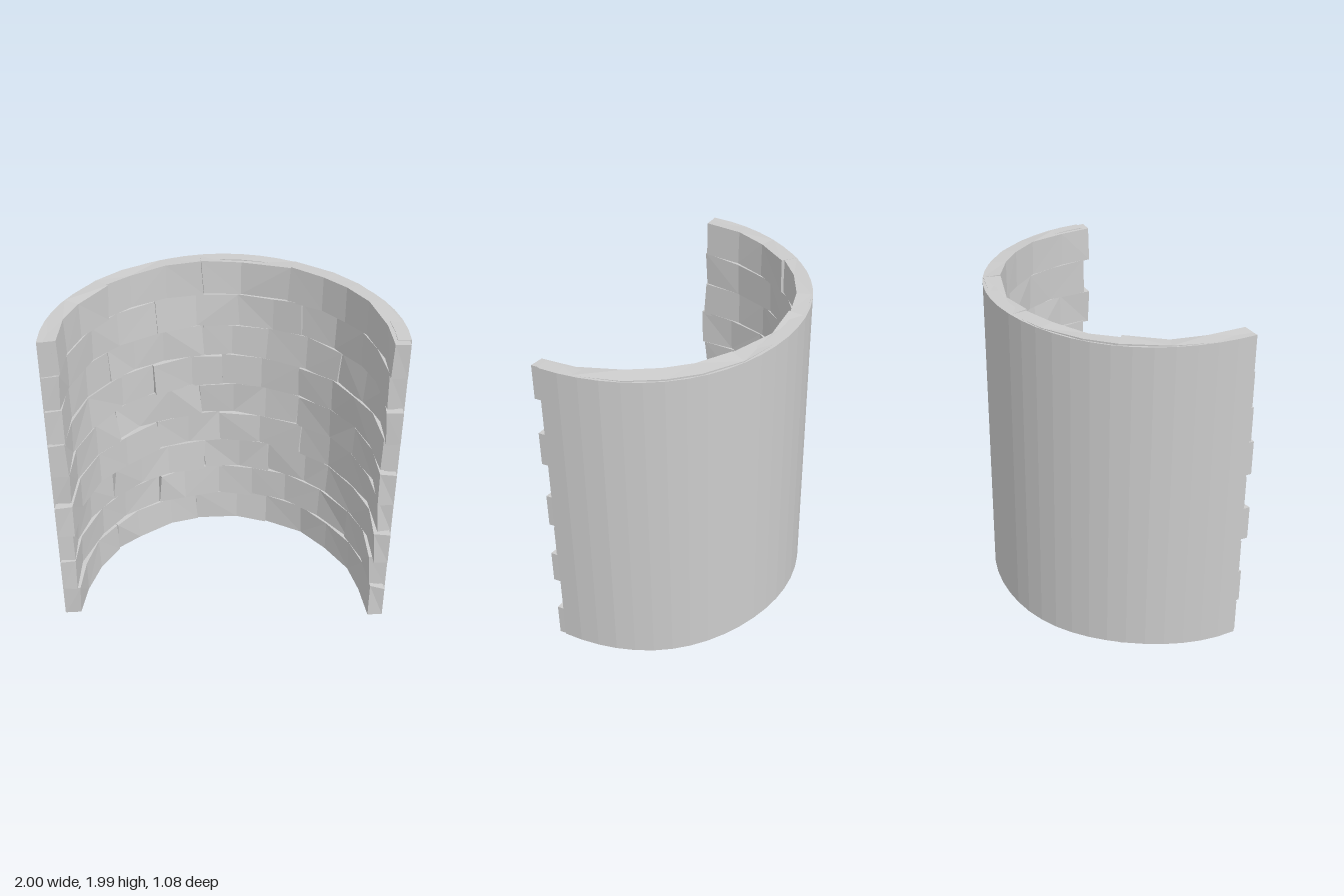
import * as THREE from 'three';

const CENTER_Z = 0.46;

// Small seeded generator for the rough-hewn irregularity
let seed = 11;
function jitter(amount) {
  seed = (seed * 16807) % 2147483647;
  return (seed / 2147483647 * 2 - 1) * amount;
}

// Point on the wall: angle 0 is the middle of the back
const point = (angle, r, y) => [r * Math.sin(angle), y, CENTER_Z - r * Math.cos(angle)];

// Closed solid through four-cornered sections: outer low, inner low, inner high, outer high
function loft(sections) {
  const positions = [], index = [];
  sections.forEach(s => s.forEach(p => positions.push(...p)));
  for (let i = 0; i < sections.length - 1; i++) {
    for (let k = 0; k < 4; k++) {
      const a = i * 4 + k, d = i * 4 + (k + 1) % 4;
      const b = a + 4, c = d + 4;
      if (i % 2) index.push(a, b, c, a, c, d);
      else index.push(a, b, d, b, c, d);
    }
  }
  const e = (sections.length - 1) * 4;
  index.push(0, 1, 2, 0, 2, 3, e, e + 2, e + 1, e, e + 3, e + 2);
  const geometry = new THREE.BufferGeometry();
  geometry.setAttribute('position', new THREE.Float32BufferAttribute(positions, 3));
  geometry.setIndex(index);
  const flat = geometry.toNonIndexed();
  flat.computeVertexNormals();
  return flat;
}

// Angle at which the wall end reaches a given z
const endAngle = z => Math.PI / 2 + Math.asin((z - CENTER_Z) / 0.95);

// Smooth outer skin of the wall
function shellGeometry() {
  const sections = [], n = 28, end = endAngle(0.49);
  for (let i = 0; i <= n; i++) {
    const a = -end + 2 * end * i / n;
    const low = 0.018 + 0.008 * Math.sin(a * 5), high = 1.982 + 0.006 * Math.cos(a * 4);
    sections.push([point(a, 1, low), point(a, 0.925, low), point(a, 0.925, high), point(a, 1, high)]);
  }
  return loft(sections);
}

// One rough block with an uneven inner face
function blockGeometry(start, end, low, high) {
  const n = Math.max(1, Math.round((end - start) / 0.26));
  const sections = [], depth = 0.9 + jitter(0.007);
  for (let i = 0; i <= n; i++) {
    const inside = i > 0 && i < n;
    const a = start + (end - start) * i / n + (inside ? jitter(0.04) : 0);
    const yLow = Math.max(0, low + jitter(0.011)), yHigh = Math.min(2, high + jitter(0.011));
    const tilt = inside ? 0 : jitter(0.012);
    sections.push([
      point(a, 0.994, low + 0.004),
      point(a - tilt, depth + jitter(0.012), yLow),
      point(a + tilt, depth + jitter(0.012), yHigh),
      point(a, 0.994, high - 0.004),
    ]);
  }
  return loft(sections);
}

// Courses from the ground up: z of the right and left ends, x of the joints between
const COURSES = [
  { ends: [0.50, 0.535], joints: [-0.70, -0.18, 0.30] },
  { ends: [0.515, 0.495], joints: [-0.42, 0.20, 0.80] },
  { ends: [0.50, 0.54], joints: [-0.70, -0.12, 0.30] },
  { ends: [0.54, 0.50], joints: [-0.42, -0.02, 0.50] },
  { ends: [0.50, 0.53], joints: [-0.66, -0.14, 0.48, 0.80] },
  { ends: [0.53, 0.49], joints: [-0.43, 0.00, 0.48] },
  { ends: [0.51, 0.535], joints: [-0.68, -0.12, 0.28, 0.70] },
  { ends: [0.50, 0.495], joints: [-0.40, 0.10, 0.48] },
  { ends: [0.49, 0.535], joints: [-0.67, -0.12, 0.40] },
];

export function createModel() {
  seed = 11;
  const wall = new THREE.Group();
  wall.name = 'curvedStoneWall';
  const material = new THREE.MeshStandardMaterial({ color: 0xcccccc, flatShading: true });
  const add = (name, geometry, parent) => {
    const mesh = new THREE.Mesh(geometry, material);
    mesh.name = name;
    parent.add(mesh);
  };

  add('outerShell', shellGeometry(), wall);

  // Stacked courses of blocks, their ends toothed along the wall edges
  const bottom = 0.015, step = (1.99 - bottom) / COURSES.length;
  COURSES.forEach(({ ends, joints }, row) => {
    const course = new THREE.Group();
    course.name = `course${row + 1}`;
    const angles = [-endAngle(ends[0]), ...joints.map(x => Math.asin(x / 0.9)), endAngle(ends[1])];
    for (let i = 0; i < angles.length - 1; i++) {
      const low = bottom + row * step;
      add(`block${i + 1}`, blockGeometry(angles[i], angles[i + 1], low, low + step), course);
    }
    wall.add(course);
  });
  return wall;
}
